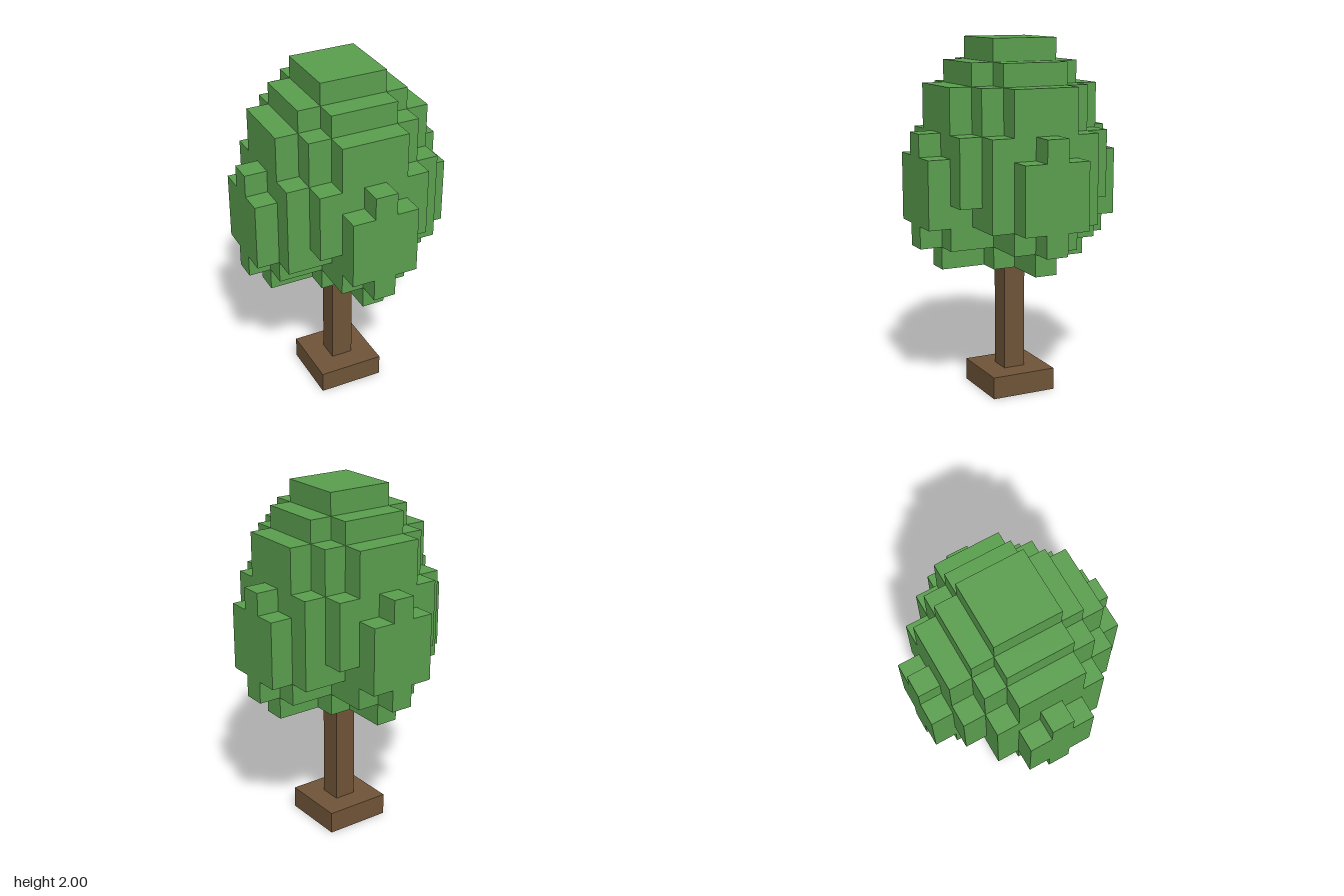
import * as THREE from 'three';

const W = 0.126; // block width
const H = 0.125; // block height

// Symmetric stepped outline: reach[i] is how many blocks column |x| = i extends along z.
function steppedOutline(reach) {
  const quarter = [];
  reach.forEach((r, i) => {
    if (r === reach[i + 1]) return;
    const x = (i + 0.5) * W;
    quarter.push([x, (r + 0.5) * W]);
    if (i < reach.length - 1) quarter.push([x, (reach[i + 1] + 0.5) * W]);
  });
  const flipped = [...quarter].reverse();
  const points = [
    ...quarter,
    ...flipped.map(([x, z]) => [x, -z]),
    ...quarter.map(([x, z]) => [-x, -z]),
    ...flipped.map(([x, z]) => [-x, z]),
  ];
  return new THREE.Shape(points.map(([x, z]) => new THREE.Vector2(x, z)));
}

// A slab of blocks from row `start`, `rows` tall.
function layer(name, start, rows, reach, material) {
  const geometry = new THREE.ExtrudeGeometry(steppedOutline(reach), { depth: rows * H, bevelEnabled: false });
  geometry.rotateX(-Math.PI / 2);
  const mesh = new THREE.Mesh(geometry, material);
  mesh.name = name;
  mesh.position.y = start * H;
  return mesh;
}

export function createModel() {
  const bark = new THREE.MeshStandardMaterial({ color: 0x705438 });
  bark.name = 'bark brown';
  const leaf = new THREE.MeshStandardMaterial({ color: 0x5a9f4e });
  leaf.name = 'leaf green';

  const tree = new THREE.Group();
  tree.name = 'tree';

  // Trunk and its wide foot
  tree.add(layer('trunkBase', 0, 1, [1, 1], bark));
  tree.add(layer('trunk', 1, 5, [0], bark));

  // Crown, bottom to top: first row, row count, z reach for |x| = 0, 1, 2...
  const crown = new THREE.Group();
  crown.name = 'crown';
  const layers = [
    [6, 1, [3, 1, 0, 0]],
    [7, 1, [4, 3, 1, 1, 0]],
    [8, 1, [4, 4, 2, 2, 1]],
    [9, 2, [4, 4, 3, 2, 1]],
    [11, 1, [4, 3, 3, 2, 0]],
    [12, 2, [3, 3, 2, 1]],
    [14, 1, [2, 2, 1]],
    [15, 1, [1, 1]],
  ];
  layers.forEach(([start, rows, reach], i) => {
    crown.add(layer(`leafLayer${i + 1}`, start, rows, reach, leaf));
  });
  tree.add(crown);
  return tree;
}
